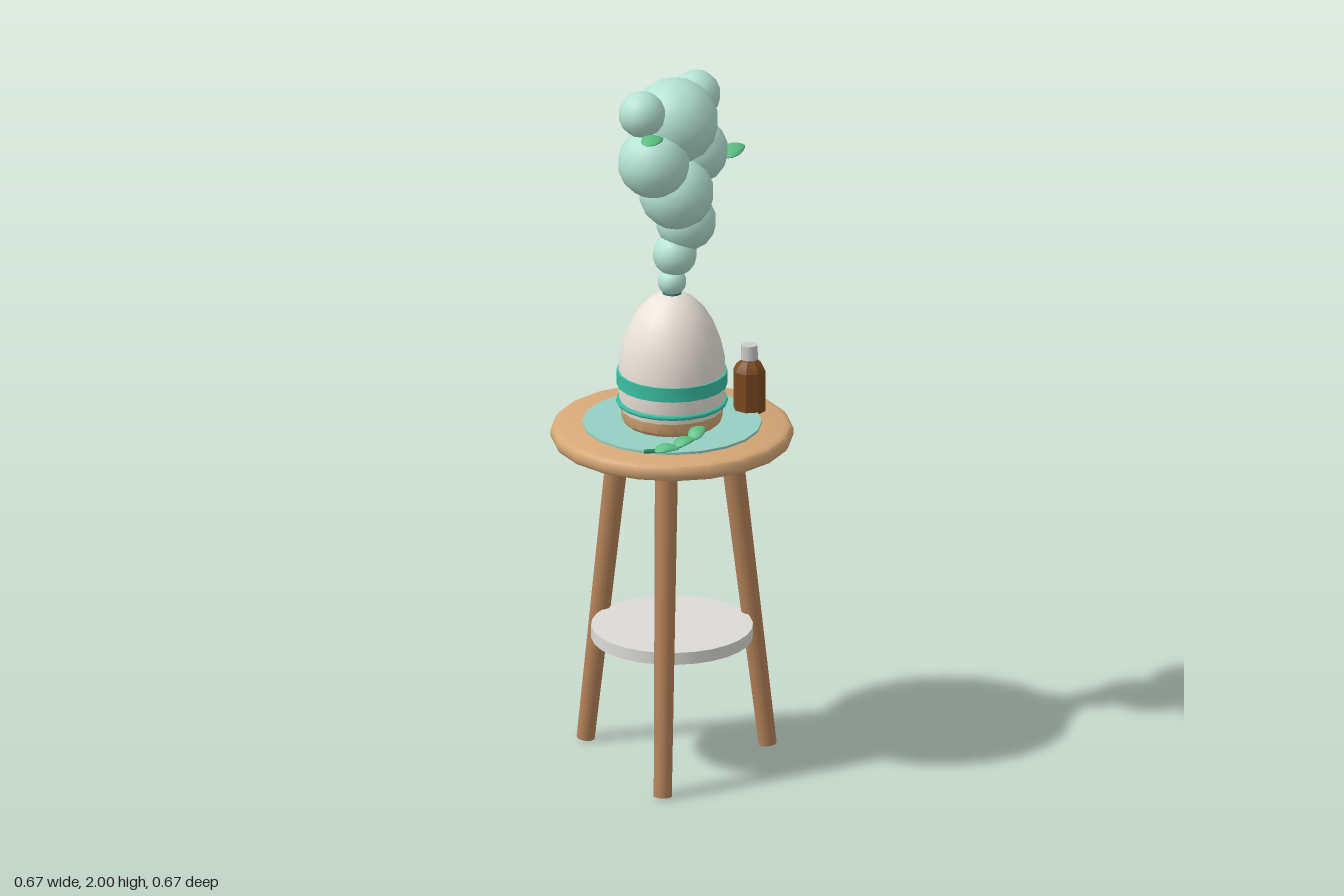
import * as THREE from 'three';
import { toCreasedNormals } from 'three/addons/utils/BufferGeometryUtils.js';

const mat = (color, side = THREE.FrontSide) => new THREE.MeshStandardMaterial({ color, side });
const M = {
  wood: mat(0xd6a877), leg: mat(0xb5835a), grey: mat(0xdcdbd6), paleTeal: mat(0x96d0c2),
  cream: mat(0xe9e2d8), teal: mat(0x3bbfa3), darkTeal: mat(0x23807c), vapour: mat(0xb4e2d3),
  leaf: mat(0x5cc085), stem: mat(0x2f8f63), amber: mat(0x7a4a20), cap: mat(0xeeeeee),
};

function add(parent, name, geometry, material, x = 0, y = 0, z = 0) {
  const mesh = new THREE.Mesh(geometry, material);
  mesh.name = name;
  mesh.position.set(x, y, z);
  parent.add(mesh);
  return mesh;
}

const lathe = (points, sides, crease = 0.65) => toCreasedNormals(
  new THREE.LatheGeometry(points.map(([r, y]) => new THREE.Vector2(r, y)), sides), crease);

const disc = (r, y0, y1, sides) => new THREE.CylinderGeometry(r, r, y1 - y0, sides).translate(0, (y0 + y1) / 2, 0);

// Round bar between two points
function bar(a, b, r0, r1, sides) {
  const dir = b.clone().sub(a);
  const g = new THREE.CylinderGeometry(r1, r0, dir.length(), sides);
  g.applyQuaternion(new THREE.Quaternion().setFromUnitVectors(new THREE.Vector3(0, 1, 0), dir.normalize()));
  const c = a.clone().add(b).multiplyScalar(0.5);
  return g.translate(c.x, c.y, c.z);
}

// Thin pointed leaf along x, slightly curled
function leafGeometry(length, width) {
  const g = new THREE.SphereGeometry(1, 10, 8).rotateZ(-Math.PI / 2);
  const p = g.attributes.position;
  for (let i = 0; i < p.count; i++) {
    const x = p.getX(i), t = (x + 1) / 2;
    const taper = 1 - 0.45 * t * t;
    p.setXYZ(i, x * length / 2,
      p.getY(i) * 0.008 * taper - 0.008 * x * x + 0.004,
      p.getZ(i) * width / 2 * taper);
  }
  g.computeVertexNormals();
  return g;
}

export function createModel() {
  const model = new THREE.Group();
  model.name = 'diffuserOnStool';

  // Stool: rounded seat, three splayed legs, low shelf
  const stool = new THREE.Group();
  stool.name = 'stool';
  model.add(stool);
  add(stool, 'seat', lathe([[0, 0.94], [0.312, 0.94], [0.327, 0.946], [0.334, 0.957],
    [0.334, 0.975], [0.327, 0.986], [0.312, 0.992], [0, 0.992]], 20), M.wood);
  for (let i = 0; i < 3; i++) {
    const a = Math.PI + i * Math.PI * 2 / 3;
    const at = (r, y) => new THREE.Vector3(Math.sin(a) * r, y, Math.cos(a) * r);
    add(stool, 'leg', bar(at(0.29, 0.003), at(0.172, 0.95), 0.025, 0.032, 12), M.leg);
  }
  add(stool, 'shelf', disc(0.223, 0.365, 0.4, 28), M.grey);
  add(model, 'mat', disc(0.247, 0.99, 0.999, 20), M.paleTeal);

  // Egg-shaped diffuser with wooden foot and coloured bands
  const diffuser = new THREE.Group();
  diffuser.name = 'diffuser';
  model.add(diffuser);
  add(diffuser, 'foot', lathe([[0, 0.999], [0.128, 0.999], [0.138, 1.01], [0.141, 1.04], [0, 1.04]], 20), M.wood);
  add(diffuser, 'body', lathe([[0, 1.035], [0.14, 1.035], [0.146, 1.07], [0.148, 1.13], [0.145, 1.19],
    [0.134, 1.24], [0.117, 1.285], [0.093, 1.325], [0.062, 1.357], [0.03, 1.375], [0, 1.378]], 20, 0.9), M.cream);
  add(diffuser, 'wideBand', lathe([[0.144, 1.11], [0.153, 1.11], [0.153, 1.15], [0.144, 1.15]], 20), M.teal);
  add(diffuser, 'thinRing', new THREE.TorusGeometry(0.148, 0.007, 6, 20).rotateX(Math.PI / 2), M.teal, 0, 1.062, 0);
  add(diffuser, 'nozzle', new THREE.CylinderGeometry(0.025, 0.028, 0.025, 14), M.darkTeal, 0, 1.38, 0);

  // Plume of vapour: x, y, z, radius
  const plume = new THREE.Group();
  plume.name = 'vapourPlume';
  model.add(plume);
  [[0, 1.41, 0, 0.04], [0.013, 1.485, 0, 0.061], [0.05, 1.575, 0.012, 0.084], [0, 1.675, 0.015, 0.104],
    [-0.088, 1.787, 0, 0.1], [0.105, 1.763, 0, 0.095], [0.012, 1.878, 0, 0.122],
    [-0.12, 1.935, -0.017, 0.065], [0.135, 1.915, -0.015, 0.069],
  ].forEach(([x, y, z, r]) => add(plume, 'puff', new THREE.IcosahedronGeometry(r, 2), M.vapour, x, y, z));

  // Two leaves drifting beside the plume
  const left = add(plume, 'driftingLeaf', leafGeometry(0.105, 0.062), M.leaf, -0.19, 1.9, 0.07);
  left.rotation.set(0.1, 2.9 - Math.PI + 0.45, -0.12);
  const right = add(plume, 'driftingLeaf', leafGeometry(0.09, 0.06), M.leaf, 0.195, 1.752, 0.072);
  right.rotation.set(0.25, 0, 0.12);

  // Sprig lying on the mat
  const sprig = new THREE.Group();
  sprig.name = 'sprig';
  model.add(sprig);
  const curve = new THREE.CatmullRomCurve3([[-0.262, 1.01, 0.088], [-0.22, 1.008, 0.125], [-0.17, 1.015, 0.155],
    [-0.11, 1.03, 0.166]].map(p => new THREE.Vector3(...p)));
  add(sprig, 'stem', new THREE.TubeGeometry(curve, 10, 0.006, 6), M.stem);
  [[-0.22, 1.015, 0.135, -0.95, 0.08, 0.07], [-0.168, 1.024, 0.158, -0.6, 0.22, 0.065],
    [-0.116, 1.038, 0.167, -0.1, 0.35, 0.062],
  ].forEach(([x, y, z, yaw, pitch, length]) => {
    const leaf = add(sprig, 'sprigLeaf', leafGeometry(length, 0.05), M.leaf, x, y, z);
    leaf.rotation.set(0.2, yaw, pitch, 'YZX');
  });

  // Small oil bottle, eight-sided
  const bottle = new THREE.Group();
  bottle.name = 'oilBottle';
  bottle.position.set(0.204, 0.993, 0.117);
  model.add(bottle);
  add(bottle, 'bottleBody', lathe([[0, 0], [0.045, 0], [0.045, 0.118], [0.036, 0.135],
    [0.022, 0.147], [0.022, 0.155], [0, 0.155]], 8, 0.4).rotateY(Math.PI / 8), M.amber);
  add(bottle, 'bottleCap', new THREE.CylinderGeometry(0.023, 0.024, 0.042, 8).rotateY(Math.PI / 8), M.cap, 0, 0.171, 0);

  return model;
}
